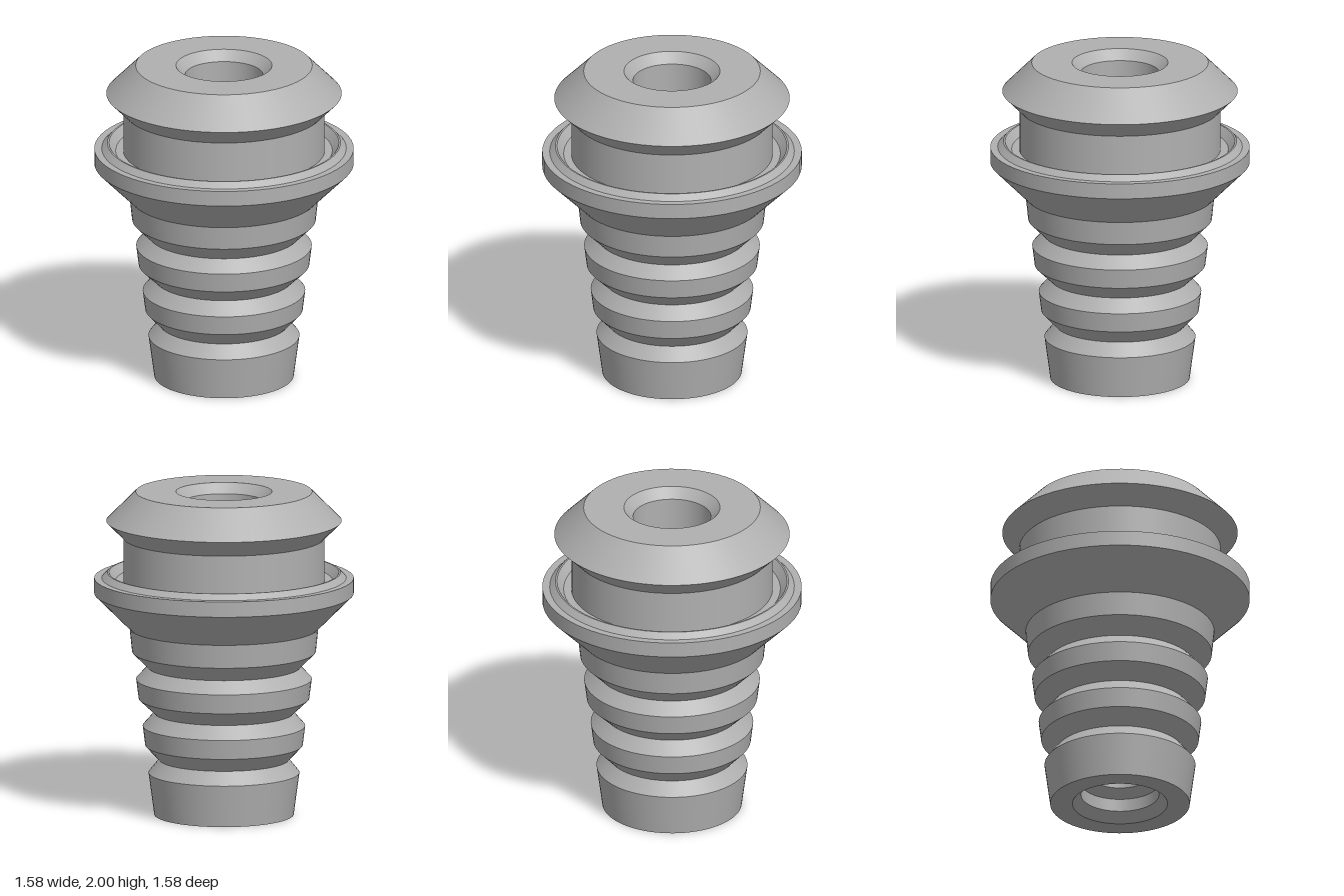
import * as THREE from 'three';
import { mergeGeometries } from 'three/addons/utils/BufferGeometryUtils.js';

const SEGMENTS = 72;

// Revolve each straight run separately: smooth around the axis, crisp at every profile corner
function revolve(profile) {
  const runs = [];
  for (let i = 0; i < profile.length - 1; i++) {
    const pair = [profile[i], profile[i + 1]].map(([r, y]) => new THREE.Vector2(r, y));
    runs.push(new THREE.LatheGeometry(pair, SEGMENTS));
  }
  return mergeGeometries(runs);
}

export function createModel() {
  const group = new THREE.Group();
  group.name = 'barbedFitting';
  const grey = new THREE.MeshStandardMaterial({ color: 0xb0b0b0 });
  grey.name = 'plain grey';

  const add = (name, profile) => {
    const mesh = new THREE.Mesh(revolve(profile), grey);
    mesh.name = name;
    group.add(mesh);
  };

  // Tapered stem with hose barbs, rising from the bottom end face
  add('barbedStem', [
    [0.29, 0], [0.425, 0], [0.46, 0.26],
    [0.395, 0.34], [0.48, 0.43], [0.495, 0.55],
    [0.425, 0.63], [0.52, 0.72], [0.535, 0.84],
    [0.465, 0.915], [0.56, 1.01], [0.575, 1.155],
  ]);

  // Conical flange with a raised lip and a groove around the neck
  add('flange', [
    [0.575, 1.155], [0.79, 1.37], [0.79, 1.465], [0.745, 1.465],
    [0.71, 1.5], [0.7, 1.5], [0.66, 1.45], [0.613, 1.45],
  ]);

  // Neck and bevelled head
  add('neck', [[0.613, 1.45], [0.613, 1.715]]);
  add('head', [[0.613, 1.715], [0.717, 1.82], [0.538, 2], [0.293, 2]]);

  // Through bore: chamfered ends with a narrower throat
  add('bore', [
    [0.293, 2], [0.237, 1.94], [0.237, 1.3], [0.18, 1.24],
    [0.18, 0.19], [0.237, 0.14], [0.237, 0.06], [0.29, 0],
  ]);

  return group;
}
